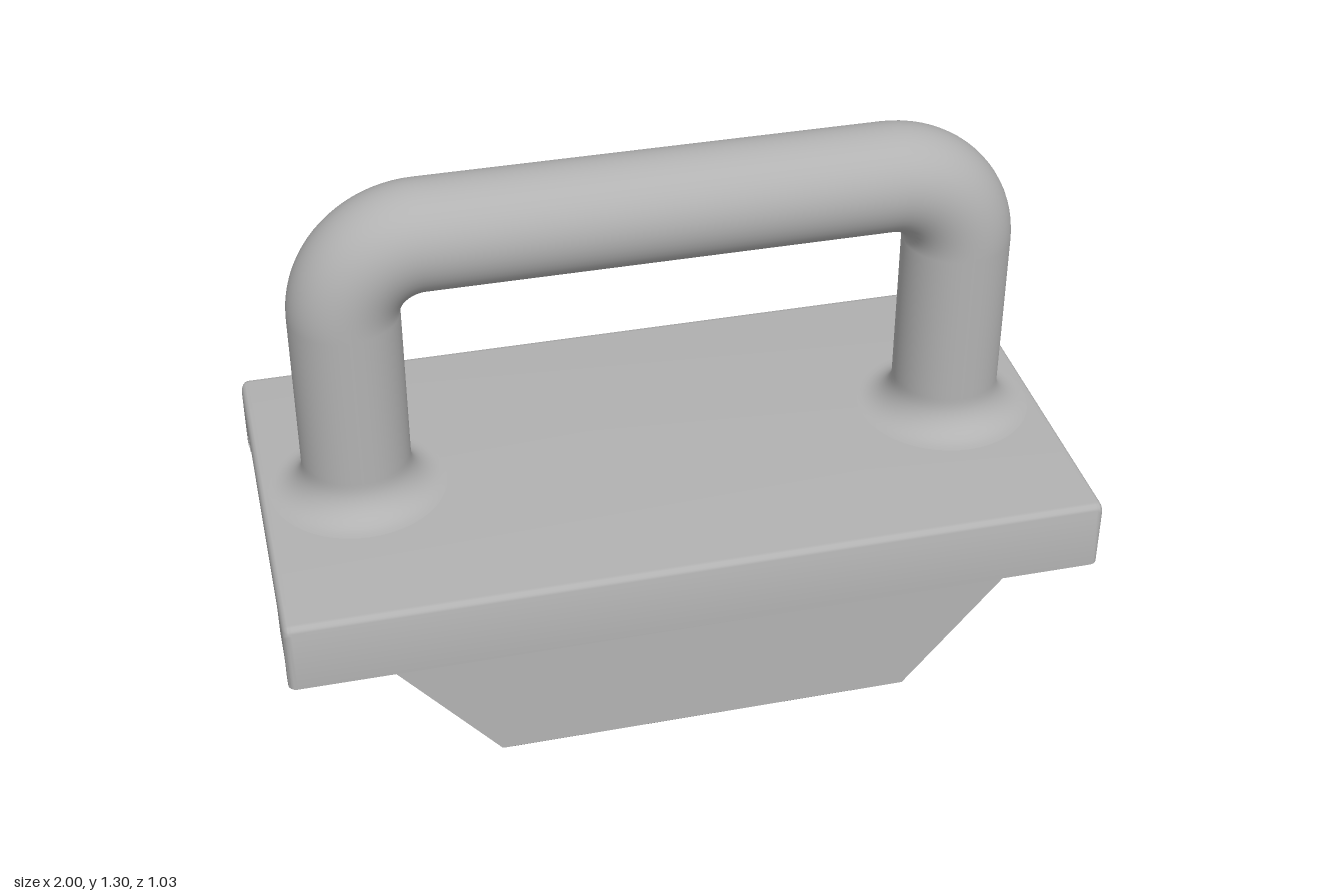
import * as THREE from 'three';
import { toCreasedNormals } from 'three/addons/utils/BufferGeometryUtils.js';

const W = 0.515, TOP = 0.48, SKIRT = 0.30, WALL = 0.05, R = 0.02;
const TUBE = 0.134, LEG_X = 0.757, BAR_Y = 1.171, BEND = 0.19;

// Channel cross-section in (z, y); the inset pulls in only the outer walls and top
function channelSection(inset) {
  const w = W - inset, t = TOP - inset, f = 0.015, s = new THREE.Shape();
  s.moveTo(w, SKIRT);
  s.lineTo(w, t - R);
  s.quadraticCurveTo(w, t, w - R, t);
  s.lineTo(-w + R, t);
  s.quadraticCurveTo(-w, t, -w, t - R);
  s.lineTo(-w, SKIRT);
  s.lineTo(-0.465, SKIRT);
  s.lineTo(-0.465, 0.355 - f);
  s.quadraticCurveTo(-0.465, 0.355, -0.465 + f, 0.355);
  s.lineTo(-0.36, 0.355);
  s.lineTo(-0.36, 0.418 - f);
  s.quadraticCurveTo(-0.36, 0.418, -0.36 + f, 0.418);
  s.lineTo(0.36 - f, 0.418);
  s.quadraticCurveTo(0.36, 0.418, 0.36, 0.418 - f);
  s.lineTo(0.36, 0.355);
  s.lineTo(0.465 - f, 0.355);
  s.quadraticCurveTo(0.465, 0.355, 0.465, 0.355 - f);
  s.lineTo(0.465, SKIRT);
  return s.getPoints(5);
}

// Deck lofted along x with rounded end edges
function deckGeometry() {
  const half = [];
  for (let k = 0; k <= 4; k++) {
    const a = (k / 4) * Math.PI / 2;
    half.push([1 - R + R * Math.sin(a), R * (1 - Math.cos(a))]);
  }
  const stations = [...half.map(([x, i]) => [-x, i]).reverse(), ...half];
  const rings = stations.map(([x, i]) => channelSection(i).map(p => [x, p.y, p.x]));
  const n = rings[0].length, pos = [];
  const tri = (a, b, c) => pos.push(...a, ...b, ...c);
  for (let s = 0; s < rings.length - 1; s++) {
    for (let j = 0; j < n; j++) {
      const k = (j + 1) % n, lo = rings[s], hi = rings[s + 1];
      tri(lo[j], hi[j], lo[k]);
      tri(lo[k], hi[j], hi[k]);
    }
  }
  const first = rings[0], last = rings[rings.length - 1];
  for (const [a, b, c] of THREE.ShapeUtils.triangulateShape(channelSection(R), [])) {
    tri(first[a], first[b], first[c]);
    tri(last[a], last[c], last[b]);
  }
  const g = new THREE.BufferGeometry();
  g.setAttribute('position', new THREE.Float32BufferAttribute(pos, 3));
  return toCreasedNormals(g, 0.6);
}

// Tapered side plate with two slotted holes
function flangeGeometry() {
  const s = new THREE.Shape([[-0.508, 0.01], [0.508, 0.01], [0.75, SKIRT], [-0.75, SKIRT]]
    .map(([x, y]) => new THREE.Vector2(x, y)));
  for (const x of [-0.32, 0.32]) {
    const slot = new THREE.Path();
    slot.absarc(x, 0.135, 0.045, 0, Math.PI);
    slot.absarc(x, 0.115, 0.045, Math.PI, Math.PI * 2);
    slot.closePath();
    s.holes.push(slot);
  }
  const g = new THREE.ExtrudeGeometry(s, { depth: WALL, bevelEnabled: false, curveSegments: 12 });
  return toCreasedNormals(g.translate(0, 0, -WALL / 2), 0.6);
}

// Chamfered lower lip of a side plate
function lipGeometry() {
  const g = new THREE.BoxGeometry(1.016, 0.01, WALL).toNonIndexed();
  const p = g.attributes.position;
  for (let i = 0; i < p.count; i++) {
    if (p.getY(i) < 0) p.setXYZ(i, p.getX(i) * 0.985, p.getY(i), p.getZ(i) * 0.6);
  }
  g.computeVertexNormals();
  return g.translate(0, 0.005, 0);
}

// Handle leg with a flared foot
function legGeometry() {
  const fillet = 0.085, pts = [];
  for (let k = 0; k <= 10; k++) {
    const a = (k / 10) * Math.PI / 2;
    pts.push(new THREE.Vector2(
      TUBE + fillet * (1 - Math.sin(a)), TOP + fillet * (1 - Math.cos(a))));
  }
  pts.push(new THREE.Vector2(TUBE, TOP + fillet + 0.01));
  pts.push(new THREE.Vector2(TUBE, BAR_Y - BEND));
  return new THREE.LatheGeometry(pts, 48);
}

export function createModel() {
  const grey = new THREE.MeshStandardMaterial({ color: 0xb2b2b2 });
  grey.name = 'light grey';
  const model = new THREE.Group();
  model.name = 'handledBracket';
  const add = (parent, name, geometry, x = 0, y = 0, z = 0) => {
    const m = new THREE.Mesh(geometry, grey);
    m.name = name;
    m.position.set(x, y, z);
    parent.add(m);
    return m;
  };

  add(model, 'deck', deckGeometry());

  // Front and back side plates
  const flange = flangeGeometry(), lip = lipGeometry();
  for (const [side, z] of [['front', W - WALL / 2], ['back', -W + WALL / 2]]) {
    add(model, side + 'Flange', flange, 0, 0, z);
    add(model, side + 'FlangeLip', lip, 0, 0, z);
  }

  // Handle: two legs, two bends and a grip bar
  const handle = new THREE.Group();
  handle.name = 'handle';
  model.add(handle);
  const leg = legGeometry();
  const bend = new THREE.TorusGeometry(BEND, TUBE, 48, 20, Math.PI / 2);
  for (const [side, s] of [['left', 1], ['right', -1]]) {
    add(handle, side + 'Leg', leg, s * LEG_X);
    const b = add(handle, side + 'Bend', bend, s * (LEG_X - BEND), BAR_Y - BEND);
    if (s < 0) b.rotation.y = Math.PI;
  }
  const bar = new THREE.CylinderGeometry(TUBE, TUBE, 2 * (LEG_X - BEND), 48, 1, true);
  add(handle, 'gripBar', bar.rotateZ(Math.PI / 2), 0, BAR_Y);

  return model;
}
